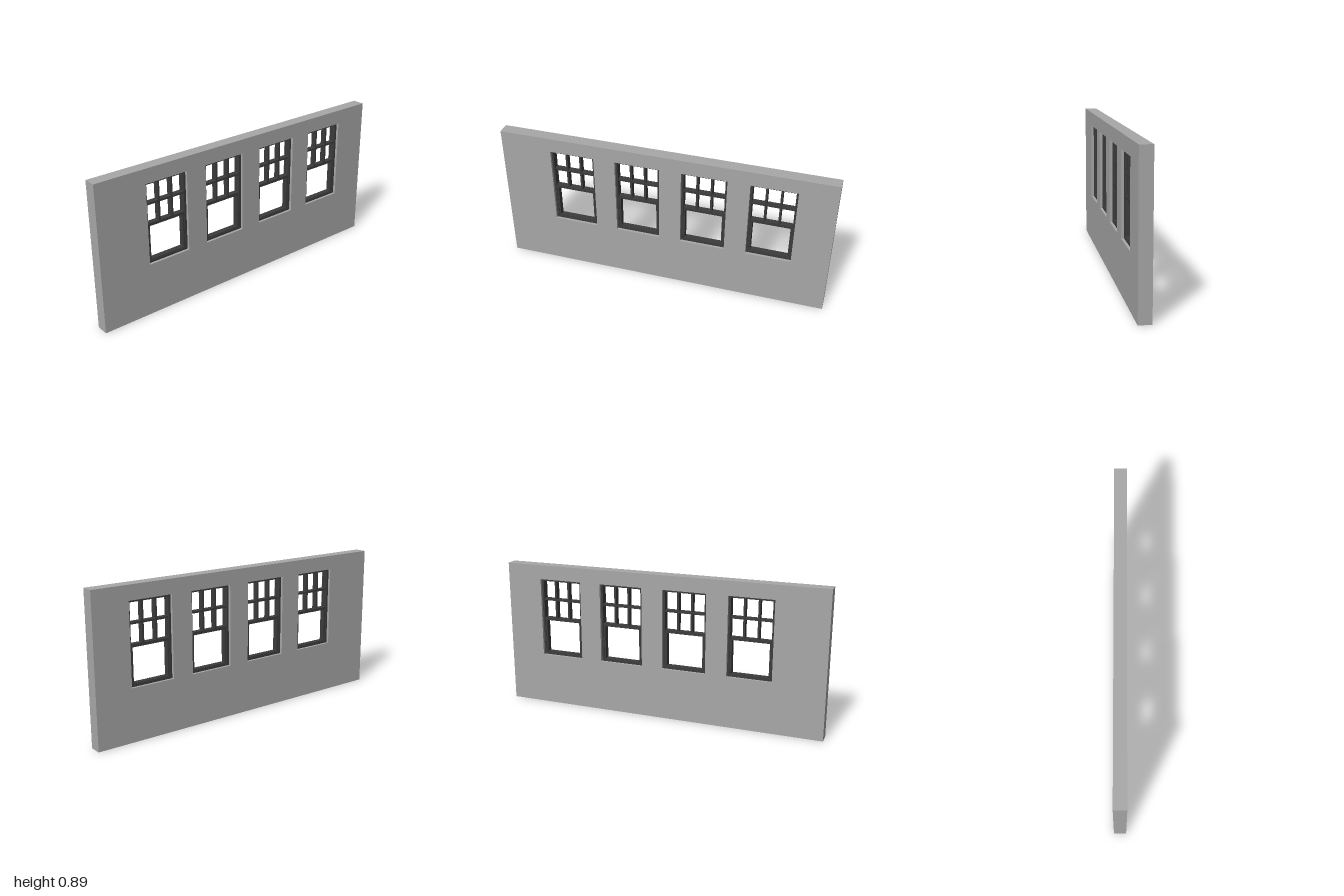
import * as THREE from 'three';

const WALL_H = 0.887, WALL_T = 0.074;
const WIN_W = 0.27, WIN_BOTTOM = 0.315, WIN_TOP = 0.8;
const WINDOW_Z = [0.555, 0.155, -0.245, -0.645];

const wallPaint = new THREE.MeshStandardMaterial({ color: 0xa8a8a8, side: THREE.DoubleSide });
wallPaint.name = 'wall grey';
const framePaint = new THREE.MeshStandardMaterial({ color: 0x3c3c3c });
framePaint.name = 'frame charcoal';

function rectangle(Type, u0, u1, y0, y1) {
  const path = new Type();
  path.moveTo(u0, y0);
  path.lineTo(u1, y0);
  path.lineTo(u1, y1);
  path.lineTo(u0, y1);
  path.closePath();
  return path;
}

// Plate in the z-y plane with rectangular holes, centred on x = 0
function plate(outer, holes, depth) {
  const shape = rectangle(THREE.Shape, ...outer);
  holes.forEach((h) => shape.holes.push(rectangle(THREE.Path, ...h)));
  const geo = new THREE.ExtrudeGeometry(shape, { depth, bevelEnabled: false });
  geo.translate(0, 0, -depth / 2);
  geo.rotateY(-Math.PI / 2);
  return geo;
}

// Hollow wall: drop the triangles lying on the floor so the underside is open
function openBottom(geo) {
  const p = geo.attributes.position;
  const kept = [];
  for (let i = 0; i < p.count; i += 3) {
    if (Math.max(p.getY(i), p.getY(i + 1), p.getY(i + 2)) > 1e-4) kept.push(i, i + 1, i + 2);
  }
  geo.setIndex(kept);
  return geo;
}

function mesh(name, geo, material) {
  const m = new THREE.Mesh(geo, material);
  m.name = name;
  return m;
}

// Double-hung window: casing, six-pane upper sash and open lower sash
function makeWindow() {
  const g = new THREE.Group();
  const h = WIN_W / 2, edge = 0.013, bar = 0.012;
  const railLow = 0.537, railHigh = 0.554;
  const inner = [-h + edge, h - edge];

  g.add(mesh('casing', plate([-h, h, WIN_BOTTOM, WIN_TOP],
    [[...inner, WIN_BOTTOM + edge, WIN_TOP - edge]], 0.042), framePaint));

  const panes = [];
  const width = (inner[1] - inner[0] - 2 * bar) / 3;
  const height = (WIN_TOP - edge - railHigh - bar) / 2;
  for (let row = 0; row < 2; row++) {
    for (let col = 0; col < 3; col++) {
      const u = inner[0] + col * (width + bar);
      const y = railHigh + row * (height + bar);
      panes.push([u, u + width, y, y + height]);
    }
  }
  // The bars of the upper sash run between the casing and the meeting rail
  for (let i = 1; i < 3; i++) {
    const bars = new THREE.BoxGeometry(0.034, WIN_TOP - edge - railHigh, bar);
    bars.translate(0, (WIN_TOP - edge + railHigh) / 2, panes[i][0] - bar / 2);
    g.add(mesh('uprightBar', bars, framePaint));
  }
  const cross = new THREE.BoxGeometry(0.034, bar, inner[1] - inner[0]);
  cross.translate(0, panes[3][2] - bar / 2, 0);
  g.add(mesh('crossBar', cross, framePaint));

  g.add(mesh('lowerSash', plate([...inner, WIN_BOTTOM + edge, railHigh],
    [[-h + 0.024, h - 0.024, WIN_BOTTOM + 0.018, railLow]], 0.034), framePaint));
  return g;
}

export function createModel() {
  const model = new THREE.Group();
  model.name = 'wallWithWindows';

  const openings = WINDOW_Z.map((z) => [z - WIN_W / 2, z + WIN_W / 2, WIN_BOTTOM, WIN_TOP]);
  model.add(mesh('wall', openBottom(plate([-1, 1, 0, WALL_H], openings, WALL_T)), wallPaint));

  WINDOW_Z.forEach((z, i) => {
    const win = makeWindow();
    win.name = `window${i + 1}`;
    win.position.z = z;
    model.add(win);
  });
  return model;
}
